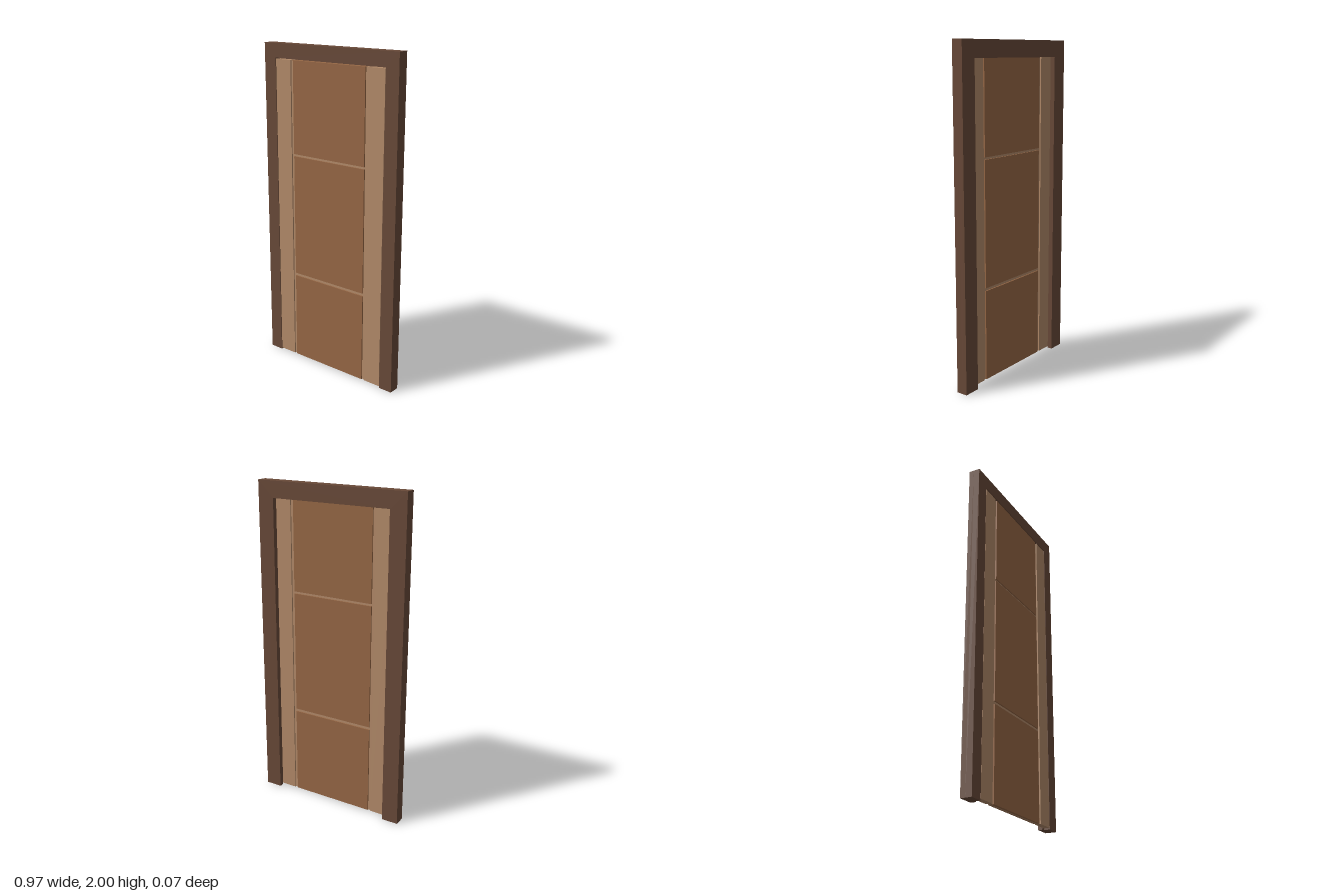
import * as THREE from 'three';

const mat = (color) => new THREE.MeshStandardMaterial({ color });
const frameMat = mat(0x684938);
const stileMat = mat(0xb28a69);
const panelMat = mat(0x966745);

// Upside-down U of the door frame, extruded from z0 to z1
function surround(name, innerX, innerY, z0, z1) {
  const W = 0.486, H = 2;
  const shape = new THREE.Shape([
    [-W, 0], [-innerX, 0], [-innerX, innerY], [innerX, innerY],
    [innerX, 0], [W, 0], [W, H], [-W, H],
  ].map(([x, y]) => new THREE.Vector2(x, y)));
  const geo = new THREE.ExtrudeGeometry(shape, { depth: z1 - z0, bevelEnabled: false });
  geo.translate(0, 0, z0);
  const mesh = new THREE.Mesh(geo, frameMat);
  mesh.name = name;
  return mesh;
}

// Box given by its limits on each axis
function slab(name, x0, x1, y0, y1, z0, z1, material) {
  const mesh = new THREE.Mesh(new THREE.BoxGeometry(x1 - x0, y1 - y0, z1 - z0), material);
  mesh.position.set((x0 + x1) / 2, (y0 + y1) / 2, (z0 + z1) / 2);
  mesh.name = name;
  return mesh;
}

export function createModel() {
  const door = new THREE.Group();
  door.name = 'door';

  // Frame: wide rebate at the front, narrower stop behind the leaf
  const frame = new THREE.Group();
  frame.name = 'frame';
  frame.add(surround('frameFront', 0.4, 1.915, -0.004, 0.034));
  frame.add(surround('frameStop', 0.383, 1.9, -0.034, -0.004));
  door.add(frame);

  // Leaf: thin core, with stiles and panels standing proud on both faces
  const leaf = new THREE.Group();
  leaf.name = 'leaf';
  const bottom = 0.01, top = 1.908, back = -0.003, front = 0.033, groove = 0.008;
  leaf.add(slab('core', -0.29, 0.29, bottom, top, back + groove, front - groove, stileMat));
  for (const [name, x0, x1] of [['leftStile', 0.283, 0.397], ['rightStile', -0.397, -0.283]]) {
    leaf.add(slab(name, x0, x1, bottom, top, back, front, stileMat));
  }
  const rows = [['lowerPanel', bottom, 0.562], ['middlePanel', 0.58, 1.336], ['upperPanel', 1.35, top]];
  for (const [name, y0, y1] of rows) {
    leaf.add(slab(name, -0.264, 0.264, y0, y1, back, front, panelMat));
  }
  door.add(leaf);

  return door;
}
